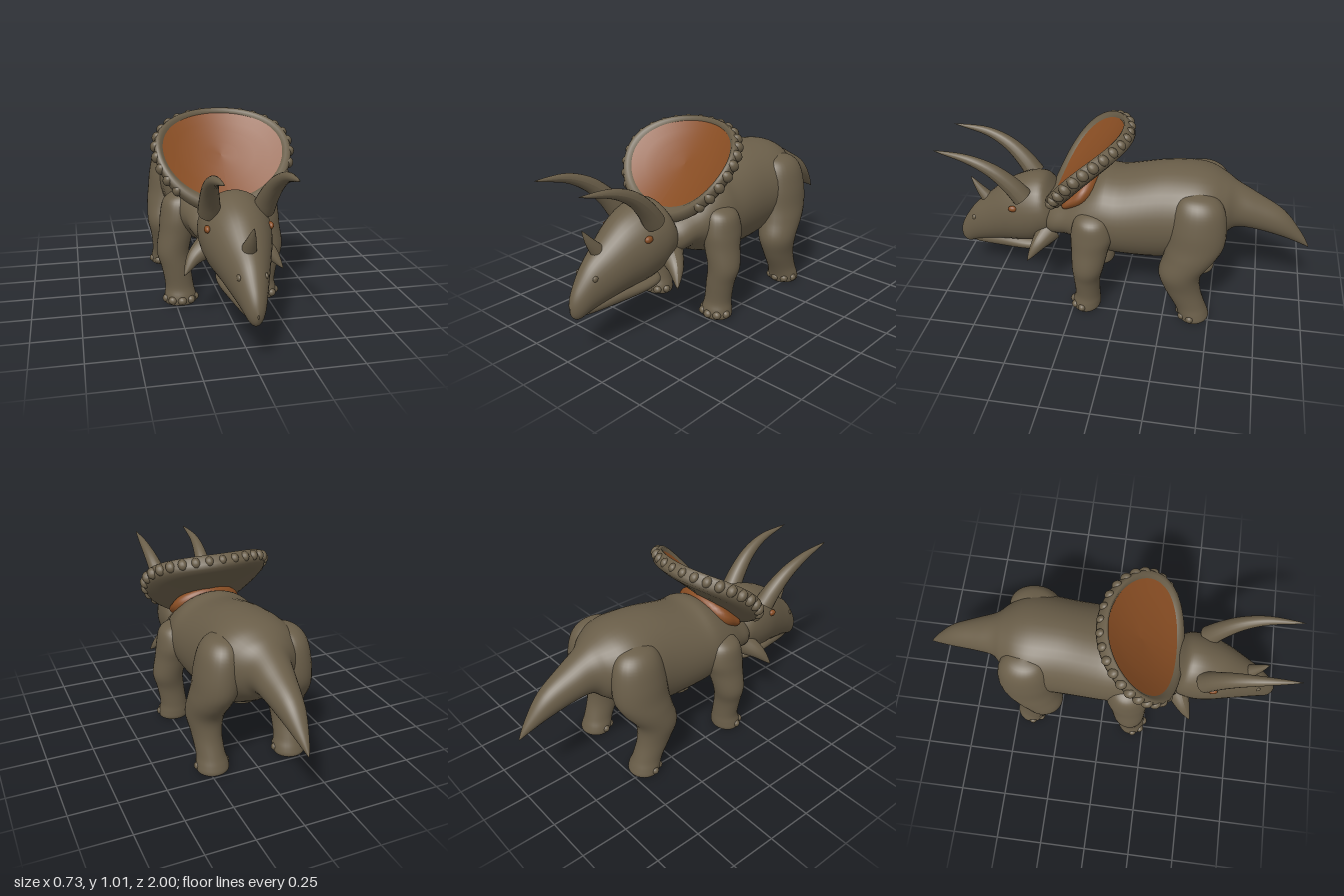
import * as THREE from 'three';

const hide = new THREE.MeshStandardMaterial({ color: 0x6a5e49 });
hide.name = 'brown hide';
const orange = new THREE.MeshStandardMaterial({ color: 0x884d23 });
orange.name = 'burnt orange';

function add(parent, name, geometry, material) {
  const mesh = new THREE.Mesh(geometry, material);
  mesh.name = name;
  parent.add(mesh);
  return mesh;
}

// Smooth interpolation through rows of numbers
function smoothRows(rows, steps) {
  const out = [];
  for (let i = 0; i < rows.length - 1; i++) {
    const p0 = rows[Math.max(i - 1, 0)], p1 = rows[i], p2 = rows[i + 1];
    const p3 = rows[Math.min(i + 2, rows.length - 1)];
    for (let s = 0; s < steps; s++) {
      const t = s / steps;
      out.push(p1.map((b, k) => {
        const a = p0[k], c = p2[k], d = p3[k];
        return b + 0.5 * t * (c - a + t * (2 * a - 5 * b + 4 * c - d + t * (3 * (b - c) + d - a)));
      }));
    }
  }
  out.push(rows[rows.length - 1]);
  return out;
}

// Skin of elliptical rings; place(row, cos, sin) gives each point
function loft(rows, place, sides = 32) {
  const rings = smoothRows(rows, 5), pos = [], idx = [];
  rings.forEach((row, i) => {
    for (let j = 0; j < sides; j++) {
      const a = (j / sides) * Math.PI * 2;
      pos.push(...place(row, Math.cos(a), Math.sin(a)));
      if (i === rings.length - 1) continue;
      const p = i * sides + j, q = i * sides + (j + 1) % sides;
      idx.push(p, q, p + sides, q, q + sides, p + sides);
    }
  });
  const g = new THREE.BufferGeometry();
  g.setAttribute('position', new THREE.Float32BufferAttribute(pos, 3));
  g.setIndex(idx);
  g.computeVertexNormals();
  return g;
}

// Rows along z, back to front: z, top, bottom, half width
const spine = ([z, top, bottom, w], c, s) => [w * c, (top + bottom) / 2 + s * (top - bottom) / 2, z];
// Rows down y, top to bottom: y, x, z, x radius, z radius
const limb = ([y, x, z, rx, rz], c, s) => [x + rx * c, y, z + rz * s];

// Curved tapering spike
function spike(points, radius) {
  const curve = new THREE.CatmullRomCurve3(points.map(p => new THREE.Vector3(...p)));
  const n = 20, sides = 18;
  const g = new THREE.TubeGeometry(curve, n, radius, sides);
  const pos = g.attributes.position, v = new THREE.Vector3();
  for (let i = 0; i <= n; i++) {
    const centre = curve.getPointAt(i / n), k = Math.pow(1 - i / n, 0.8);
    for (let j = 0; j <= sides; j++) {
      const id = i * (sides + 1) + j;
      v.fromBufferAttribute(pos, id).sub(centre).multiplyScalar(k).add(centre);
      pos.setXYZ(id, v.x, v.y, v.z);
    }
  }
  g.computeVertexNormals();
  return g;
}

function ball(parent, name, material, p, scale) {
  const mesh = add(parent, name, new THREE.SphereGeometry(1, 14, 10), material);
  mesh.position.set(...p);
  mesh.scale.set(...scale);
}

function makeFrill() {
  const frill = new THREE.Group();
  frill.name = 'frill';
  // Unit disc to oval, with a wider rim below and the sides bowed forward
  const place = (x, y, z) => {
    const depth = z > 0 ? 0.285 + 0.045 * Math.pow(x * x + z * z, 5) : 0.285;
    return [x * 0.348, y + 0.075 * x * x - 0.02, z * depth];
  };
  const dish = profile => {
    const g = new THREE.LatheGeometry(profile.map(p => new THREE.Vector2(...p)), 64);
    const pos = g.attributes.position;
    for (let i = 0; i < pos.count; i++) {
      pos.setXYZ(i, ...place(pos.getX(i), pos.getY(i), pos.getZ(i)));
    }
    g.computeVertexNormals();
    return g;
  };
  add(frill, 'frillShield', dish([[0, -0.045], [0.4, -0.045], [0.8, -0.052], [0.95, -0.05], [1, -0.028],
    [1, 0.008], [0.97, 0.028], [0.92, 0.028], [0.88, 0.016]]), hide);
  add(frill, 'frillFace', dish([[0.88, 0.016], [0.7, 0.01], [0.5, 0.006], [0.25, 0.003], [0, 0.002]]), orange);
  // Knobs round the rim, leaving out the part above the skull
  const count = 30;
  for (let i = 0; i < count; i++) {
    const a = ((i + 0.5) / count) * Math.PI * 2, x = Math.cos(a), z = Math.sin(a);
    if (z > 0.75) continue;
    const r = 0.02 + 0.008 * Math.abs(x);
    ball(frill, 'frillKnob', hide, place(x * 0.98, -0.01, z * 0.98), [r, r * 1.2, r]);
  }
  frill.position.set(0, 0.81, 0.19);
  frill.rotation.x = Math.PI / 4;
  return frill;
}

export function createModel() {
  const model = new THREE.Group();
  model.name = 'hornedDinosaur';

  // Trunk, tail and neck
  add(model, 'bodyAndTail', loft([
    [-1, 0.385, 0.375, 0.002], [-0.95, 0.47, 0.40, 0.026], [-0.85, 0.59, 0.44, 0.06],
    [-0.7, 0.68, 0.48, 0.092], [-0.6, 0.735, 0.485, 0.118], [-0.54, 0.77, 0.44, 0.175],
    [-0.46, 0.805, 0.38, 0.238], [-0.36, 0.82, 0.325, 0.262], [-0.2, 0.81, 0.275, 0.256],
    [0, 0.765, 0.28, 0.26], [0.1, 0.765, 0.295, 0.258], [0.2, 0.71, 0.33, 0.242],
    [0.29, 0.64, 0.375, 0.21], [0.4, 0.58, 0.37, 0.165], [0.5, 0.52, 0.42, 0.01]], spine, 40), hide);
  add(model, 'neckPatch', loft([
    [0.11, 0.72, 0.64, 0.01], [0.14, 0.765, 0.61, 0.13], [0.19, 0.765, 0.58, 0.19],
    [0.25, 0.72, 0.56, 0.195], [0.31, 0.66, 0.55, 0.17], [0.35, 0.6, 0.56, 0.01]], spine), orange);

  // Skull with beak, and lower jaw
  add(model, 'skull', loft([
    [0.35, 0.53, 0.46, 0.01], [0.37, 0.58, 0.41, 0.12], [0.4, 0.635, 0.355, 0.16], [0.44, 0.685, 0.32, 0.175],
    [0.5, 0.693, 0.285, 0.178], [0.58, 0.67, 0.27, 0.167], [0.67, 0.622, 0.26, 0.14],
    [0.78, 0.53, 0.24, 0.102], [0.86, 0.458, 0.22, 0.073], [0.92, 0.375, 0.2, 0.048],
    [0.95, 0.32, 0.215, 0.027], [0.965, 0.27, 0.25, 0.002]], spine), hide);
  add(model, 'lowerJaw', loft([
    [0.41, 0.27, 0.255, 0.005], [0.45, 0.3, 0.225, 0.08], [0.55, 0.3, 0.212, 0.095],
    [0.7, 0.3, 0.205, 0.075], [0.85, 0.27, 0.203, 0.04], [0.91, 0.25, 0.21, 0.005]], spine), hide);
  add(model, 'beakTip', spike([[0, 0.27, 0.915], [0, 0.235, 0.925], [0, 0.195, 0.925]], 0.03), hide);
  add(model, 'noseHorn', spike([[0, 0.51, 0.785], [0, 0.565, 0.825], [0, 0.635, 0.868]], 0.036), hide);
  model.add(makeFrill());

  const frontLeg = [
    [0.61, 0.2, 0.14, 0.002, 0.002], [0.597, 0.205, 0.14, 0.05, 0.06], [0.56, 0.215, 0.14, 0.085, 0.095],
    [0.48, 0.225, 0.14, 0.092, 0.112], [0.4, 0.235, 0.15, 0.09, 0.1], [0.29, 0.255, 0.16, 0.085, 0.085],
    [0.2, 0.24, 0.17, 0.077, 0.072], [0.1, 0.225, 0.17, 0.075, 0.068], [0.05, 0.222, 0.175, 0.083, 0.075],
    [0.015, 0.222, 0.178, 0.086, 0.076], [0, 0.222, 0.178, 0.07, 0.06], [0, 0.222, 0.178, 0.001, 0.001]];
  const hindLeg = [
    [0.755, 0.165, -0.405, 0.002, 0.002], [0.735, 0.17, -0.405, 0.065, 0.085], [0.68, 0.18, -0.41, 0.1, 0.13],
    [0.58, 0.192, -0.41, 0.113, 0.15], [0.48, 0.203, -0.405, 0.113, 0.152], [0.4, 0.217, -0.38, 0.11, 0.138],
    [0.3, 0.23, -0.335, 0.1, 0.115], [0.2, 0.23, -0.35, 0.08, 0.097], [0.1, 0.225, -0.39, 0.075, 0.085],
    [0.05, 0.222, -0.41, 0.083, 0.083], [0.015, 0.222, -0.418, 0.086, 0.083],
    [0, 0.222, -0.418, 0.07, 0.065], [0, 0.222, -0.418, 0.001, 0.001]];

  for (const side of [1, -1]) {
    const label = side > 0 ? 'left' : 'right';
    const at = p => [p[0] * side, p[1], p[2]];
    // Legs with a row of toes
    for (const [name, rows] of [['FrontLeg', frontLeg], ['HindLeg', hindLeg]]) {
      const leg = new THREE.Group();
      leg.name = label + name;
      model.add(leg);
      add(leg, 'leg', loft(rows.map(r => [r[0], r[1] * side, ...r.slice(2)]), limb, 28), hide);
      const [, fx, fz, rx, rz] = rows[rows.length - 3];
      for (let i = 0; i < 5; i++) {
        const a = Math.PI * (0.06 + 0.22 * i);
        ball(leg, 'toe', hide, [fx * side + Math.cos(a) * rx * 0.87, 0.03, fz + Math.sin(a) * rz * 0.92],
          [0.024, 0.022, 0.022]);
      }
    }
    // Brow horns, cheek spikes, eyes and nostrils
    add(model, label + 'BrowHorn', spike([[0.132, 0.615, 0.535], [0.142, 0.69, 0.59], [0.155, 0.775, 0.68],
      [0.163, 0.835, 0.8], [0.158, 0.87, 0.995]].map(at), 0.056), hide);
    add(model, label + 'CheekSpike', spike([[0.11, 0.4, 0.405], [0.19, 0.355, 0.45],
      [0.25, 0.28, 0.5]].map(at), 0.068), hide);
    ball(model, label + 'Eye', orange, at([0.153, 0.545, 0.59]), [0.015, 0.018, 0.024]);
    ball(model, label + 'Nostril', hide, at([0.062, 0.402, 0.85]), [0.01, 0.016, 0.018]);
  }
  return model;
}
